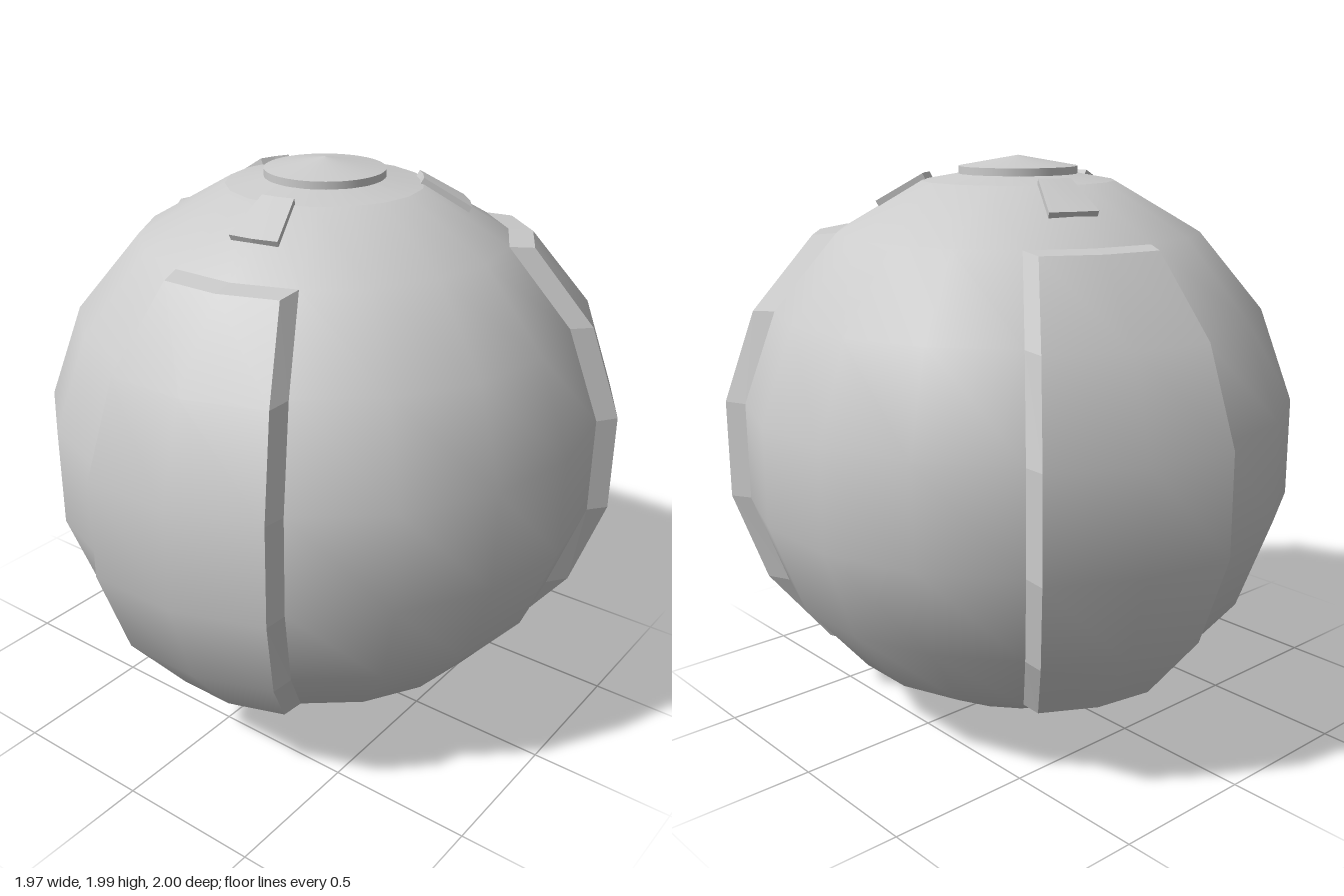
import * as THREE from 'three';
import { mergeVertices } from 'three/addons/utils/BufferGeometryUtils.js';

const R = 0.98;
const rad = THREE.MathUtils.degToRad;
const material = new THREE.MeshStandardMaterial({ color: 0xcccccc });

function addMesh(parent, name, geometry, y = 0) {
  const mesh = new THREE.Mesh(geometry, material);
  mesh.name = name;
  mesh.position.y = y;
  parent.add(mesh);
  return mesh;
}

function quadGeometry(quads) {
  const points = quads.flatMap(([a, b, c, d]) => [a, b, c, a, c, d]);
  return new THREE.BufferGeometry().setFromPoints(points);
}

// Raised plate facing +z, two facets wide. Profiles list [radius, y] from top to bottom.
function plate(name, baseProfile, outerProfile, halfAngle, inset) {
  const at = (r, y, a) => new THREE.Vector3(r * Math.sin(a), y, r * Math.cos(a));
  const base = baseProfile.map(([r, y]) => [-1, 0, 1].map(j => at(r, y, j * halfAngle)));
  const outer = outerProfile.map(([r, y]) => [-1, 0, 1].map(j => {
    const t = 1 - inset / (r * Math.sin(halfAngle));
    return at(r, y, 0).lerp(at(r, y, j * halfAngle), t);
  }));
  const last = base.length - 1;
  const face = [], walls = [];
  for (let j = 0; j < 2; j++) {
    for (let i = 0; i < last; i++) {
      face.push([outer[i][j], outer[i + 1][j], outer[i + 1][j + 1], outer[i][j + 1]]);
    }
    walls.push([base[0][j], outer[0][j], outer[0][j + 1], base[0][j + 1]]);
    walls.push([outer[last][j], base[last][j], base[last][j + 1], outer[last][j + 1]]);
  }
  for (let i = 0; i < last; i++) {
    walls.push([outer[i][2], outer[i + 1][2], base[i + 1][2], base[i][2]]);
    walls.push([base[i][0], base[i + 1][0], outer[i + 1][0], outer[i][0]]);
  }
  const group = new THREE.Group();
  group.name = name;
  const faceGeometry = mergeVertices(quadGeometry(face)); // smooth outer face
  const wallGeometry = quadGeometry(walls); // flat walls
  faceGeometry.computeVertexNormals();
  wallGeometry.computeVertexNormals();
  addMesh(group, name + 'Face', faceGeometry);
  addMesh(group, name + 'Walls', wallGeometry);
  return group;
}

export function createModel() {
  const model = new THREE.Group();
  model.name = 'panelledBall';
  const ball = new THREE.Group();
  ball.name = 'ball';
  ball.position.set(0.035, R, 0.03);
  model.add(ball);

  // Round body with a shallow conical crown
  const body = new THREE.SphereGeometry(R, 18, 8, 0, Math.PI * 2, rad(20), rad(160));
  addMesh(ball, 'body', body.rotateY(Math.PI / 2));
  const crownHeight = R * (1 - Math.cos(rad(20)));
  addMesh(ball, 'crown', new THREE.ConeGeometry(R * Math.sin(rad(20)), crownHeight, 18, 1, true), R - crownHeight / 2);

  // Round lid on the crown
  addMesh(ball, 'lidRim', new THREE.CylinderGeometry(0.205, 0.205, 0.035, 48, 1, true), 0.9515);
  addMesh(ball, 'lidTop', new THREE.ConeGeometry(0.205, 0.036, 48, 1, true), 0.987);

  // Three tall side panels and three small tabs above them
  const panelBase = [50, 30, 10, -10, -30, -50].map(a => [R * Math.cos(rad(a)), R * Math.sin(rad(a))]);
  const upper = [[0.716, 0.742], [0.929, 0.487], [1.04, 0.172]];
  const panelOuter = [...upper, ...upper.map(([r, y]) => [r, -y]).reverse()];
  const tabBase = [[0.315, 0.915], [0.478, 0.82]];
  const tabOuter = [[0.33, 0.943], [0.493, 0.85]];
  for (const angle of [160, 40, -80]) {
    const panel = plate('sidePanel', panelBase, panelOuter, rad(20), 0.045);
    const tab = plate('topTab', tabBase, tabOuter, rad(10), 0);
    for (const part of [panel, tab]) {
      part.rotation.y = rad(angle);
      ball.add(part);
    }
  }
  return model;
}
